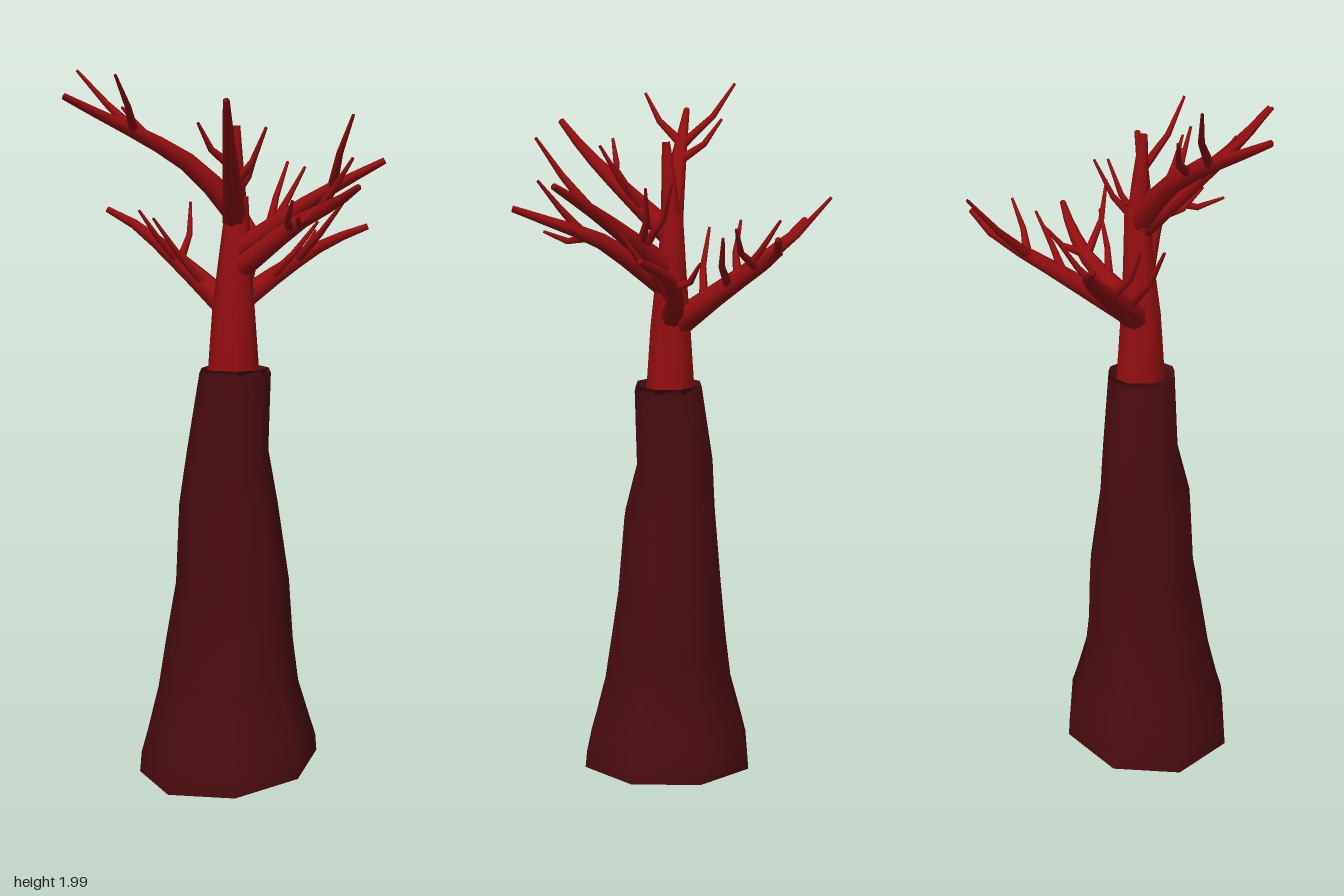
import * as THREE from 'three';

const barkMat = new THREE.MeshStandardMaterial({ color: 0x4a0c0f, side: THREE.DoubleSide });
barkMat.name = 'dark bark';
const woodMat = new THREE.MeshStandardMaterial({ color: 0x930e11 });
woodMat.name = 'red wood';

const vec = (x, y, z) => new THREE.Vector3(x, y, z);

// One closed ring of points, counterclockwise from above.
const ring = (sides, rx, rz = rx) => Array.from({ length: sides }, (_, i) => {
  const t = (i / sides) * Math.PI * 2;
  return vec(Math.cos(t) * rx, 0, -Math.sin(t) * rz);
});

// Skins a stack of equal-sized rings with smooth quads.
function skin(name, rings, material) {
  const n = rings[0].length;
  const index = [];
  for (let r = 0; r < rings.length - 1; r++) {
    for (let i = 0; i < n; i++) {
      const a = r * n + i, b = r * n + ((i + 1) % n);
      index.push(a, b, b + n, a, b + n, a + n);
    }
  }
  const geo = new THREE.BufferGeometry().setFromPoints(rings.flat());
  geo.setIndex(index);
  geo.computeVertexNormals();
  const mesh = new THREE.Mesh(geo, material);
  mesh.name = name;
  return mesh;
}

// Tapered limb along a bent path, closed at its tip.
function limb(name, pts, r0, r1, sides = 7) {
  const last = pts.length - 1;
  const rings = pts.map((p, k) => {
    const dir = pts[Math.min(k + 1, last)].clone().sub(pts[Math.max(k - 1, 0)]).normalize();
    const turn = new THREE.Quaternion().setFromUnitVectors(vec(0, 1, 0), dir);
    return ring(sides, THREE.MathUtils.lerp(r0, r1, k / last)).map((v) => v.applyQuaternion(turn).add(p));
  });
  rings.push(rings[0].map(() => pts[last].clone()));
  return skin(name, rings, woodMat);
}

// Hollow octagonal bark with a slanted foot and a rolled-in top lip.
function makeBark() {
  // height, centre x, half width x, half depth z
  const sections = [
    [0.037, -0.035, 0.255, 0.26],
    [0.09, -0.034, 0.251, 0.255],
    [0.15, -0.033, 0.232, 0.238],
    [0.27, -0.034, 0.201, 0.203],
    [0.4, -0.03, 0.182, 0.184],
    [0.57, -0.016, 0.164, 0.161],
    [0.8, -0.028, 0.14, 0.14],
    [0.95, -0.018, 0.115, 0.116],
    [1.17, -0.012, 0.1, 0.101],
    [1.185, -0.012, 0.094, 0.095],
    [1.15, -0.012, 0.084, 0.085],
  ];
  const rings = sections.map(([y, cx, rx, rz]) => {
    const slant = Math.max(0, 1 - (y - 0.037) / 0.3);
    const cz = 0.02 * Math.sin((y - 0.75) * -5) * (y > 0.6 && y < 1 ? 1 : 0) + (y > 1 ? 0.006 : 0);
    return ring(8, rx, rz).map((v) => vec(v.x + cx, y + slant * (0.1 * (v.x + cx) + 0.05 * v.z), v.z + cz));
  });
  return skin('bark', rings, barkMat);
}

// A bough leaves the stem at height y and bends through the given points.
// Each twig is [fraction along the bough, tip x, tip y, tip z].
function makeBough(name, y, points, twigs, radius = 0.035) {
  const group = new THREE.Group();
  group.name = name;
  const curve = new THREE.CatmullRomCurve3([vec(-0.01, y, 0), ...points.map((p) => vec(...p))], false, 'centripetal');
  group.add(limb('bough', curve.getSpacedPoints(6), radius, 0.009));
  for (const [t, ...tip] of twigs) {
    const start = curve.getPointAt(t);
    const end = vec(...tip);
    // twigs spread sideways first, then turn upward
    const bend = start.clone().lerp(end, 0.6).addScaledVector(curve.getTangentAt(t), -0.015);
    bend.y -= 0.015;
    group.add(limb('twig', [start, bend, end], 0.014, 0.004, 6));
  }
  return group;
}

export function createModel() {
  const tree = new THREE.Group();
  tree.name = 'tree';
  tree.add(makeBark());

  // Central stem rising out of the bark, with a slim leader on top
  tree.add(limb('stem', [vec(-0.012, 1.15, 0), vec(-0.012, 1.35, 0), vec(-0.005, 1.5, 0), vec(0.005, 1.66, 0)], 0.074, 0.03, 8));
  tree.add(limb('leader', [vec(0, 1.6, 0), vec(-0.008, 1.74, 0.005), vec(-0.014, 1.85, 0.012)], 0.032, 0.011));

  tree.add(makeBough('backBough', 1.34,
    [[-0.01, 1.48, -0.22], [-0.025, 1.575, -0.37], [-0.07, 1.62, -0.44]],
    [[0.45, -0.12, 1.62, -0.26], [0.46, 0.11, 1.64, -0.275], [0.22, -0.15, 1.6, -0.175]], 0.042));
  tree.add(makeBough('backRightBough', 1.62,
    [[-0.12, 1.745, -0.06], [-0.435, 1.92, -0.22]],
    [[0.6, -0.297, 1.997, -0.315], [0.63, -0.39, 1.97, -0.072], [0.45, -0.207, 1.9, -0.235]]));
  tree.add(makeBough('backLeftBough', 1.34,
    [[0.25, 1.53, -0.135], [0.335, 1.575, -0.155], [0.435, 1.628, -0.113]],
    [[0.62, 0.337, 1.72, -0.31], [0.63, 0.352, 1.65, -0.035], [0.43, 0.285, 1.62, -0.028]]));
  tree.add(makeBough('frontLeftBough', 1.36,
    [[0.17, 1.47, 0.06], [0.25, 1.53, 0.125], [0.32, 1.575, 0.215]],
    [[0.53, 0.3, 1.56, 0.042], [0.5, 0.19, 1.65, 0.232], [0.27, 0.175, 1.59, 0.15]]));
  tree.add(makeBough('upperFrontBough', 1.5,
    [[0.075, 1.66, 0.225], [0.16, 1.755, 0.385]],
    [[0.68, 0.017, 1.87, 0.387], [0.25, 0.15, 1.755, 0.06], [0.27, 0.14, 1.74, 0.13]]));
  tree.add(makeBough('lowerFrontBough', 1.45,
    [[0.025, 1.6, 0.22], [0.025, 1.64, 0.32], [-0.03, 1.685, 0.44]],
    [[0.56, -0.13, 1.61, 0.325], [0.42, -0.087, 1.65, 0.27], [0.62, 0.02, 1.76, 0.385]]));
  tree.add(makeBough('frontRightBough', 1.6,
    [[-0.22, 1.81, 0.165], [-0.29, 1.9, 0.22]],
    [[0.5, -0.245, 1.85, 0.082], [0.28, -0.083, 1.84, 0.177], [0.2, -0.07, 1.79, 0.14]]));
  return tree;
}
